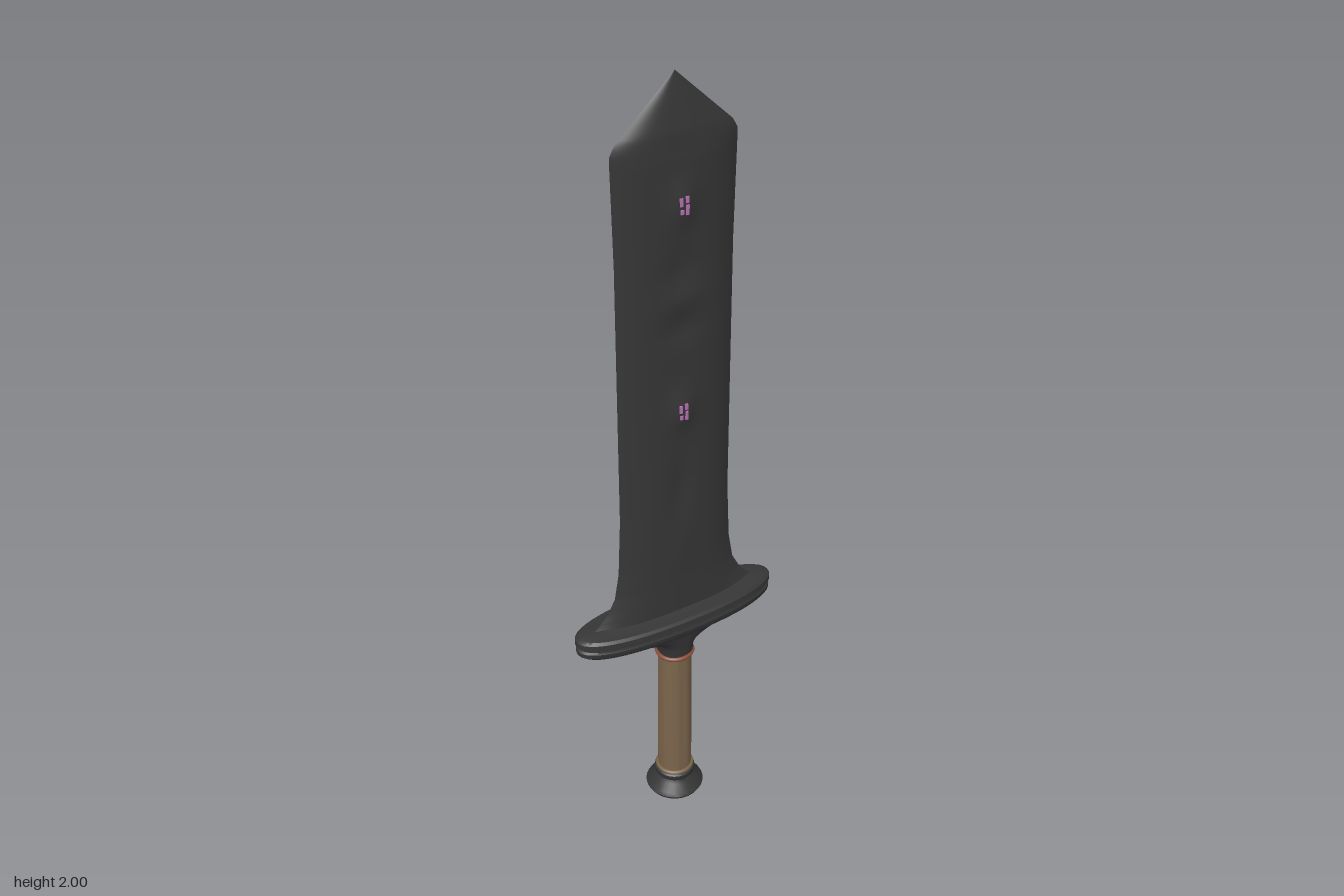
import * as THREE from 'three';
import { toCreasedNormals } from 'three/addons/utils/BufferGeometryUtils.js';

const mat = (name, color) => new THREE.MeshStandardMaterial({ name, color });

// Linear interpolation through [y, value] pairs
function sample(points, y) {
  for (let i = 1; i < points.length; i++) {
    const [y0, a] = points[i - 1], [y1, b] = points[i];
    if (y <= y1) return a + (b - a) * (y - y0) / (y1 - y0);
  }
  return points[points.length - 1][1];
}

// Superelliptic rings [halfX, halfZ, y], listed bottom to top
function loft(rings, power, segments = 48) {
  const pos = [], idx = [];
  const soft = (v) => Math.sign(v) * Math.abs(v) ** (2 / power);
  for (const [hx, hz, y] of rings) {
    for (let i = 0; i < segments; i++) {
      const a = i / segments * Math.PI * 2;
      pos.push(hx * soft(Math.cos(a)), y, hz * soft(Math.sin(a)));
    }
  }
  for (let r = 0; r < rings.length - 1; r++) {
    for (let i = 0; i < segments; i++) {
      const j = (i + 1) % segments, a = r * segments, b = a + segments;
      idx.push(a + i, b + i, b + j, a + i, b + j, a + j);
    }
  }
  const geo = new THREE.BufferGeometry();
  geo.setAttribute('position', new THREE.Float32BufferAttribute(pos, 3));
  geo.setIndex(idx);
  return toCreasedNormals(geo, 0.6);
}

const lathe = (points) => toCreasedNormals(
  new THREE.LatheGeometry(points.map(([r, y]) => new THREE.Vector2(r, y)), 32), 0.6);

// Blade outline and core thickness along its length
const halfWidth = [[0.64, 0.245], [0.66, 0.215], [0.69, 0.188], [0.73, 0.167], [0.8, 0.155],
  [0.95, 0.148], [1.2, 0.148], [1.6, 0.148], [1.83, 0.153], [1.85, 0.152], [1.87, 0.141], [2, 0]];
const halfDepth = [[0.64, 0.034], [0.75, 0.031], [1.1, 0.029], [1.65, 0.029], [1.82, 0.03],
  [1.88, 0.026], [1.95, 0.012], [2, 0]];
// Carved relief: [y, radiusX, radiusY, height]
const relief = [[1.225, 0.035, 0.05, 0.012], [1.725, 0.035, 0.055, 0.011], [1.43, 0.05, 0.035, -0.006],
  [1.57, 0.045, 0.04, -0.005], [1.5, 0.05, 0.025, 0.003], [1.0, 0.03, 0.08, -0.006], [0.85, 0.03, 0.09, 0.003]];
const gemHeights = [1.225, 1.725];

function surfaceDepth(x, y) {
  const w = sample(halfWidth, y), u = w > 0 ? Math.min(1, Math.abs(x) / w) : 1;
  let t = sample(halfDepth, y);
  for (const [cy, rx, ry, h] of relief) t += h * Math.exp(-((x / rx) ** 2) - ((y - cy) / ry) ** 2);
  return Math.max(0, t) * (1 - u ** 3.2);
}

// One face of the blade, closing to a sharp edge
function bladeFace() {
  const geo = new THREE.PlaneGeometry(2, 1, 32, 136);
  const p = geo.attributes.position;
  for (let i = 0; i < p.count; i++) {
    const y = 0.64 + (p.getY(i) + 0.5) * 1.36;
    const x = p.getX(i) * sample(halfWidth, y);
    p.setXYZ(i, x, y, surfaceDepth(x, y));
  }
  geo.computeVertexNormals();
  return geo;
}

export function createModel() {
  const sword = new THREE.Group();
  sword.name = 'sword';
  const steel = mat('darkSteel', 0x363636);
  const leather = mat('brownLeather', 0x7b654b);
  const copper = mat('copperBand', 0x8a4f3a);
  const crystal = mat('pinkCrystal', 0xb972b4);
  const add = (name, geo, material, parent = sword) => {
    const mesh = new THREE.Mesh(geo, material);
    mesh.name = name;
    parent.add(mesh);
    return mesh;
  };

  // Blade with crystals, the same on both sides
  const face = bladeFace();
  for (const [side, turn] of [['front', 0], ['back', Math.PI]]) {
    const half = new THREE.Group();
    half.name = side + 'BladeSide';
    half.rotation.y = turn;
    sword.add(half);
    add(side + 'Blade', face, steel, half);
    for (const y of gemHeights) {
      // Small broken shards in the raised boss
      for (const [dx, dy, h] of [[-0.008, 0.008, 0.018], [0.006, 0.012, 0.014], [0.007, -0.011, 0.022], [-0.006, -0.014, 0.01]]) {
        const shard = add(side + 'Crystal', new THREE.BoxGeometry(0.007, h, 0.005), crystal, half);
        shard.position.set(dx, y + dy, surfaceDepth(dx, y + dy) + 0.0005);
      }
    }
  }

  // Guard: grooved rim with a domed top and a flared underside
  add('guard', loft([
    [0.044, 0.044, 0.51], [0.046, 0.046, 0.535], [0.06, 0.049, 0.553], [0.095, 0.051, 0.566],
    [0.155, 0.053, 0.58], [0.225, 0.057, 0.592], [0.262, 0.067, 0.597], [0.272, 0.072, 0.605],
    [0.273, 0.073, 0.617], [0.268, 0.07, 0.622], [0.268, 0.07, 0.627], [0.275, 0.075, 0.632],
    [0.274, 0.074, 0.645], [0.264, 0.068, 0.651], [0.24, 0.045, 0.652], [0.21, 0.03, 0.656], [0, 0, 0.66],
  ], 2.25), steel);

  // Grip and its bands
  add('grip', lathe([[0.043, 0.1], [0.044, 0.2], [0.043, 0.35], [0.042, 0.51]]), leather);
  for (const [name, y] of [['upperBand', 0.503], ['lowerBand', 0.112]]) {
    const band = add(name, new THREE.TorusGeometry(0.044, 0.006, 8, 32), name === 'upperBand' ? copper : leather);
    band.rotation.x = Math.PI / 2;
    band.position.y = y;
  }

  // Pommel
  add('pommel', lathe([[0, 0], [0.014, 0.003], [0.045, 0.022], [0.07, 0.042], [0.075, 0.051], [0.07, 0.06],
    [0.052, 0.077], [0.047, 0.086], [0.051, 0.092], [0.052, 0.104], [0.047, 0.109], [0, 0.109]]), steel);
  return sword;
}
